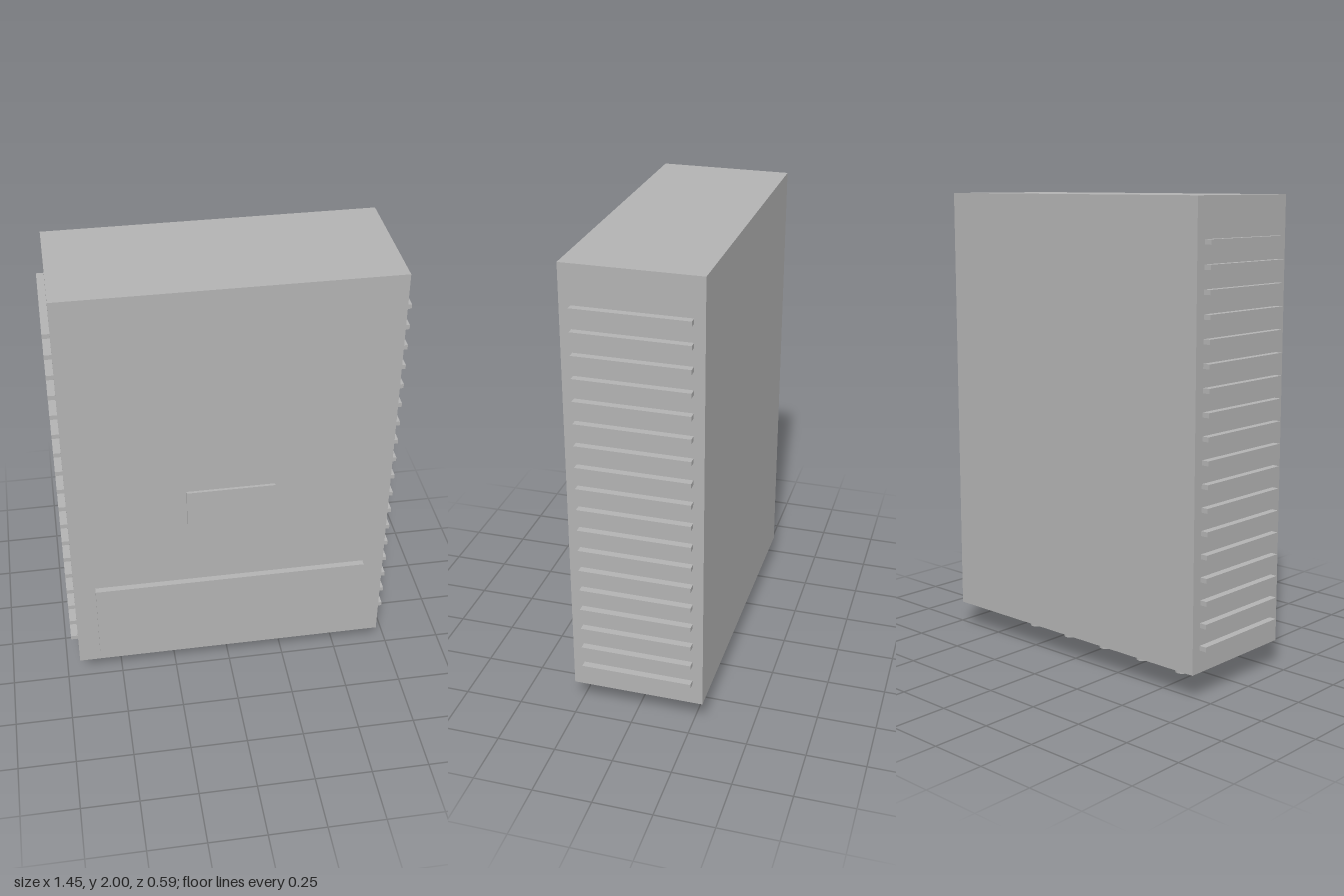
import * as THREE from 'three';

export function createModel() {
  const model = new THREE.Group();
  model.name = 'wallCabinet';
  const grey = new THREE.MeshStandardMaterial({ color: 0xb2b2b2 });
  grey.name = 'casing grey';

  // Box given by its lower and upper limits on each axis
  function addBox(name, [x0, x1], [y0, y1], [z0, z1]) {
    const mesh = new THREE.Mesh(new THREE.BoxGeometry(x1 - x0, y1 - y0, z1 - z0), grey);
    mesh.position.set((x0 + x1) / 2, (y0 + y1) / 2, (z0 + z1) / 2);
    mesh.name = name;
    model.add(mesh);
  }

  const bottom = 0.115, front = 0.268;

  // Casing and the raised panels on its front
  addBox('casing', [-0.692, 0.692], [bottom, 2], [-0.295, front]);
  addBox('lowerCover', [-0.598, 0.598], [0.178, 0.55], [front, 0.295]);
  addBox('displayPanel', [-0.188, 0.188], [0.868, 1.042], [front, 0.28]);

  // Cooling fins, a column of 18 on each side
  for (let i = 0; i < 18; i++) {
    const y = 0.219 + i * 0.0946;
    addBox('leftFin', [0.692, 0.723], [y - 0.01, y + 0.01], [-0.251, 0.221]);
    addBox('rightFin', [-0.723, -0.692], [y - 0.01, y + 0.01], [-0.251, 0.221]);
  }

  // Row of cable glands under the casing
  const glandGeometry = new THREE.CylinderGeometry(0.028, 0.028, bottom, 24);
  for (let i = -2; i <= 2; i++) {
    const gland = new THREE.Mesh(glandGeometry, grey);
    gland.position.set(i * 0.221, bottom / 2, -0.058);
    gland.name = 'cableGland';
    model.add(gland);
  }
  return model;
}
